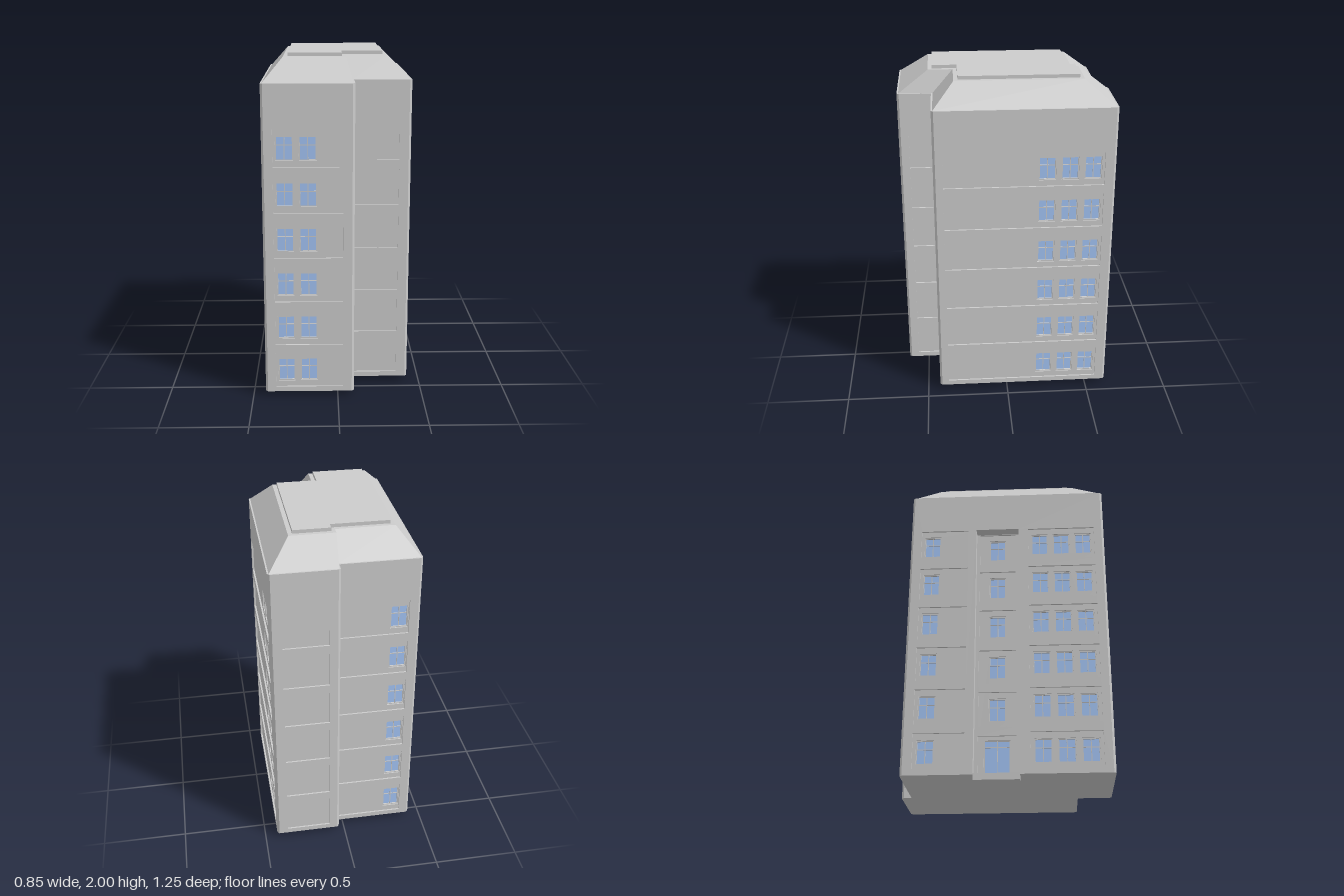
import * as THREE from 'three';

const grey = new THREE.MeshStandardMaterial({ color: 0xcccccc, flatShading: true });
const glass = new THREE.MeshStandardMaterial({ color: 0xa3c4f5 });

const BASE = 0.03, EAVE = 1.85, ROOF = 1.98, TOP = 2;
const FLOORS = 6, STOREY = 0.265;
const SKIN = 0.01, DEPTH = 0.03;              // panel recess, full wall thickness
const RECESS = [-0.16, 0.10], RECESS_TOP = 1.6, RECESS_X = -0.365;

// Plan outline as [x, z], running round the building with outside on the right
const plan = [
  [-0.427, 0.625], [0.095, 0.625], [0.095, 0.425], [0.427, 0.425],
  [0.427, -0.625], [0.035, -0.625], [0.035, -0.565], [-0.427, -0.565],
];
const roofTop = [
  [-0.305, 0.44], [0.05, 0.44], [0.05, 0.295], [0.29, 0.295],
  [0.29, -0.445], [0.03, -0.445], [0.03, -0.4], [-0.305, -0.4],
];

// Panels and window centres per side, as world x or z along that side
const sides = [
  { name: 'frontLeftWall', panels: [[-0.365, 0.03]], windows: [-0.3, -0.168] },
  { name: 'frontReturnWall', panels: [[0.565, 0.433]] },
  { name: 'frontRightWall', panels: [[0.102, 0.36]] },
  { name: 'eastWall', panels: [[0.37, -0.56]], windows: [-0.23, -0.362, -0.495] },
  { name: 'backRightWall', panels: [[0.36, 0.095]] },
  { name: 'backReturnWall' },
  { name: 'backLeftWall', panels: [[0.03, -0.365]], windows: [-0.31] },
  {
    name: 'entranceWall', panels: [[-0.5, -0.21], [0.16, 0.565]],
    windows: [-0.43, 0.23, 0.362, 0.495], notch: RECESS,
  },
];

function mesh(name, geometry, material, parent) {
  const m = new THREE.Mesh(geometry, material);
  m.name = name;
  parent.add(m);
  return m;
}

function box(name, x0, x1, y0, y1, z0, z1, parent, material = grey) {
  const m = mesh(name, new THREE.BoxGeometry(x1 - x0, y1 - y0, z1 - z0), material, parent);
  m.position.set((x0 + x1) / 2, (y0 + y1) / 2, (z0 + z1) / 2);
  return m;
}

function polygon(points) {
  return new THREE.Shape(points.map(([x, y]) => new THREE.Vector2(x, y)));
}

const rect = (x0, x1, y0, y1) => polygon([[x0, y0], [x1, y0], [x1, y1], [x0, y1]]);

function extrude(shape, depth) {
  return new THREE.ExtrudeGeometry(shape, { depth, bevelEnabled: false });
}

const planShape = (loop) => polygon(loop.map(([x, z]) => [x, -z]));

function direction(a, b) {
  const l = Math.hypot(b[0] - a[0], b[1] - a[1]);
  return [(b[0] - a[0]) / l, (b[1] - a[1]) / l];
}

// Shrink a right-angled outline by d
function inset(loop, d) {
  const n = loop.length;
  return loop.map((p, i) => {
    const u = direction(loop[(i + n - 1) % n], p), v = direction(p, loop[(i + 1) % n]);
    return [p[0] + (u[1] + v[1]) * d, p[1] - (u[0] + v[0]) * d];
  });
}

// Framed and glazed opening, centred on its own origin, built towards +z
function glazing(name, w, h, railAt) {
  const g = new THREE.Group();
  g.name = name;
  const t = 0.006;
  const ring = rect(-w / 2, w / 2, -h / 2, h / 2);
  ring.holes.push(rect(-w / 2 + t, w / 2 - t, -h / 2 + t, h / 2 - t));
  mesh('frame', extrude(ring, 0.011), grey, g);
  box('pane', -w / 2, w / 2, -h / 2, h / 2, -0.002, 0.003, g, glass);
  box('mullion', -0.0025, 0.0025, -h / 2, h / 2, 0, 0.007, g);
  box('rail', -w / 2, w / 2, railAt - 0.0025, railAt + 0.0025, 0, 0.007, g);
  return g;
}
const windowUnit = glazing('window', 0.1, 0.14, 0.018);
const doorUnit = glazing('entranceDoor', 0.15, 0.2, 0.06);

// Wall from a to b: outer skin pierced by panels, inner layer pierced by windows
function wall(a, b, { name, panels = [], windows = [], notch, door, bottom = BASE, top = EAVE }, parent) {
  const [dx, dz] = direction(a, b);
  const length = Math.hypot(b[0] - a[0], b[1] - a[1]);
  const along = (w) => (Math.abs(dx) > 0.5 ? (w - a[0]) * dx : (w - a[1]) * dz);
  const g = new THREE.Group();
  g.name = name;
  g.position.set(a[0], 0, a[1]);
  g.rotation.y = Math.atan2(-dz, dx);
  parent.add(g);

  const outline = () => {
    const pts = [[0, bottom]];
    if (notch) {
      const [l, r] = notch.map(along);
      pts.push([l, bottom], [l, RECESS_TOP], [r, RECESS_TOP], [r, bottom]);
    }
    pts.push([length, bottom], [length, top], [0, top]);
    return polygon(pts);
  };
  const skin = outline(), inner = outline();

  for (let f = 0; f < FLOORS; f++) {
    const y = f * STOREY;
    const isDoor = door && f === 0;
    for (const [p, q] of panels) {
      skin.holes.push(rect(along(p), along(q), y + 0.06 - (isDoor ? 0.015 : 0), y + 0.272));
    }
    for (const c of windows) {
      const w = isDoor ? 0.15 : 0.1, h = isDoor ? 0.2 : 0.14;
      const u = along(c), cy = y + (isDoor ? 0.15 : 0.165);
      inner.holes.push(rect(u - w / 2, u + w / 2, cy - h / 2, cy + h / 2));
      const unit = (isDoor ? doorUnit : windowUnit).clone();
      unit.position.set(u, cy, -DEPTH + 0.002);
      g.add(unit);
    }
  }
  mesh('panelSkin', extrude(skin, SKIN), grey, g).position.z = -SKIN;
  mesh('innerLayer', extrude(inner, DEPTH - SKIN), grey, g).position.z = -DEPTH;
}

// Sloping band between two matching outlines
function slopes(low, yLow, high, yHigh) {
  const pos = [];
  low.forEach((p, i) => {
    const j = (i + 1) % low.length;
    const a = [p[0], yLow, p[1]], b = [low[j][0], yLow, low[j][1]];
    const c = [high[j][0], yHigh, high[j][1]], d = [high[i][0], yHigh, high[i][1]];
    pos.push(...a, ...b, ...c, ...a, ...c, ...d);
  });
  const geo = new THREE.BufferGeometry();
  geo.setAttribute('position', new THREE.Float32BufferAttribute(pos, 3));
  geo.computeVertexNormals();
  return geo;
}

export function createModel() {
  const model = new THREE.Group();
  model.name = 'apartmentBuilding';

  // Chamfer the convex corners of the plan
  const n = plan.length, chamfer = 0.013;
  const corners = plan.map((p, i) => {
    const u = direction(plan[(i + n - 1) % n], p), v = direction(p, plan[(i + 1) % n]);
    if (u[0] * v[1] - u[1] * v[0] > 0) return [p];
    return [
      [p[0] - u[0] * chamfer, p[1] - u[1] * chamfer],
      [p[0] + v[0] * chamfer, p[1] + v[1] * chamfer],
    ];
  });
  const footprint = corners.flat();

  // Walls and corner strips
  corners.forEach((c, i) => {
    wall(c[c.length - 1], corners[(i + 1) % n][0], sides[i], model);
    if (c.length === 2) wall(c[0], c[1], { name: 'cornerStrip' }, model);
  });

  // Entrance recess with stair windows above the door
  const [z0, z1] = RECESS, mid = (z0 + z1) / 2, x0 = -0.427 + DEPTH, x1 = RECESS_X;
  wall([x1, z0], [x1, z1], {
    name: 'recessWall', panels: [[z0 + 0.02, z1 - 0.02]], windows: [mid], door: true, top: RECESS_TOP,
  }, model);
  box('recessJamb', x0, x1 + DEPTH, BASE, RECESS_TOP, z0 - 0.02, z0, model);
  box('recessJamb', x0, x1 + DEPTH, BASE, RECESS_TOP, z1, z1 + 0.02, model);
  box('recessSoffit', x0, x1 + DEPTH, RECESS_TOP, RECESS_TOP + 0.02, z0, z1, model);
  box('entranceStep', -0.427, x1, 0, BASE + 0.008, z0, z1, model);

  // Underside and eaves ledge
  const flat = () => new THREE.ShapeGeometry(planShape(footprint)).rotateX(-Math.PI / 2);
  const underside = mesh('underside', flat(), grey.clone(), model);
  underside.material.side = THREE.DoubleSide;
  underside.position.y = BASE;
  mesh('eavesLedge', flat(), grey, model).position.y = EAVE;

  // Sloped roof with a raised flat cap
  mesh('roofSlopes', slopes(inset(plan, 0.009), EAVE, roofTop, ROOF), grey, model);
  const deck = new THREE.ShapeGeometry(planShape(roofTop)).rotateX(-Math.PI / 2);
  mesh('roofDeck', deck, grey, model).position.y = ROOF;
  const cap = extrude(planShape(inset(roofTop, 0.024)), TOP - ROOF).rotateX(-Math.PI / 2);
  mesh('roofCap', cap, grey, model).position.y = ROOF;

  return model;
}
